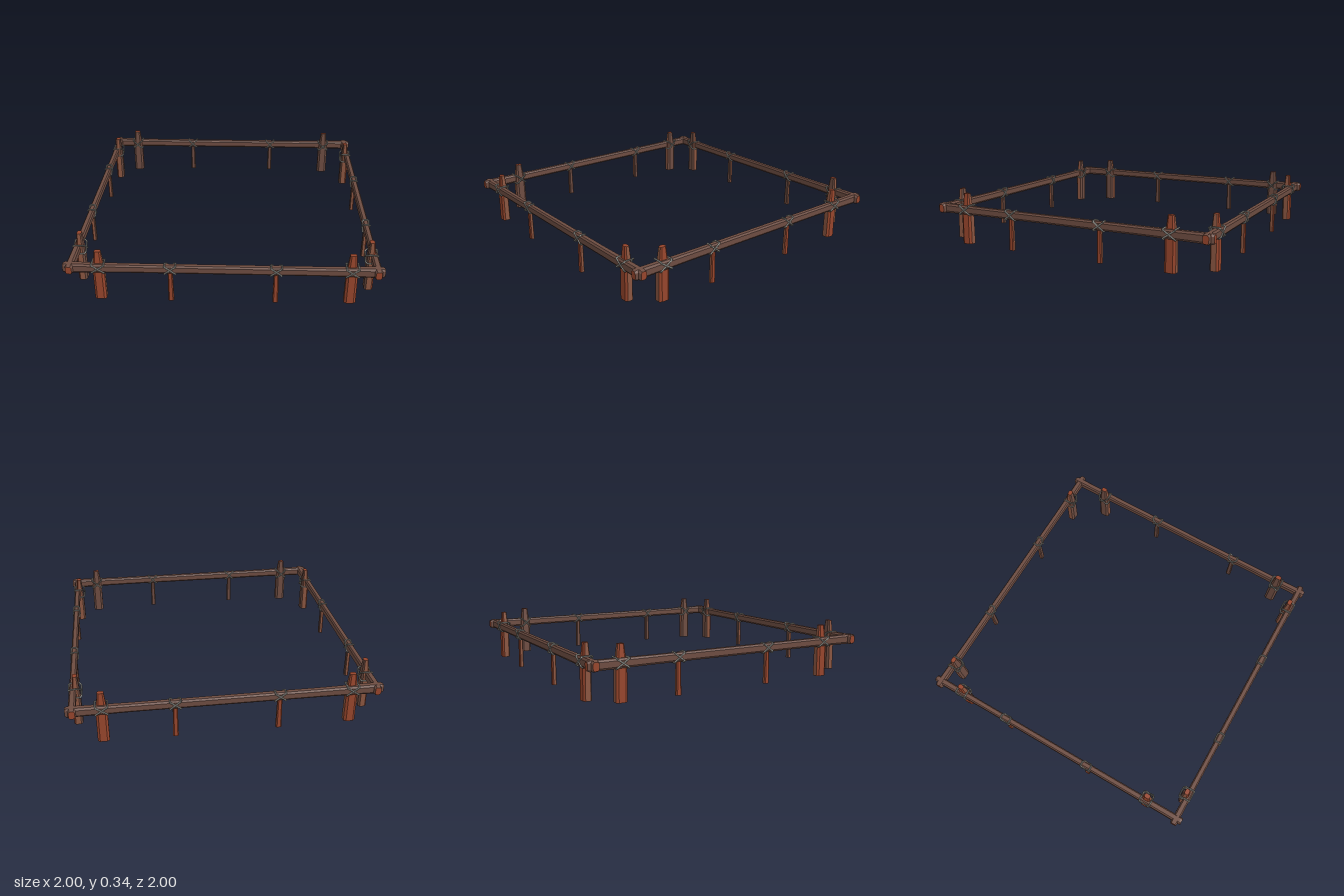
import * as THREE from 'three';

const mat = (name, color) => {
  const m = new THREE.MeshStandardMaterial({ color });
  m.name = name;
  return m;
};

// Chamfered prism along y: levels are [y, half width x, half depth z].
// Groups 0-7 are the facets (2 faces +z, 6 faces -z), 8 is the top, 9 the bottom.
function chamferedPrism(levels, k) {
  const section = [[1, -k], [1, k], [k, 1], [-k, 1], [-1, k], [-1, -k], [-k, -1], [k, -1]];
  const pos = [];
  const g = new THREE.BufferGeometry();
  const at = (l, i) => [section[i % 8][0] * l[1], l[0], section[i % 8][1] * l[2]];
  const group = (index, build) => {
    const start = pos.length / 3;
    build();
    g.addGroup(start, pos.length / 3 - start, index);
  };
  for (let i = 0; i < 8; i++) {
    group(i, () => {
      for (let j = 0; j < levels.length - 1; j++) {
        const a = levels[j], b = levels[j + 1];
        pos.push(...at(a, i), ...at(b, i), ...at(a, i + 1));
        pos.push(...at(a, i + 1), ...at(b, i), ...at(b, i + 1));
      }
    });
  }
  const low = levels[0], high = levels[levels.length - 1];
  group(8, () => {
    for (let i = 0; i < 8; i++) pos.push(0, high[0], 0, ...at(high, i + 1), ...at(high, i));
  });
  group(9, () => {
    for (let i = 0; i < 8; i++) pos.push(0, low[0], 0, ...at(low, i), ...at(low, i + 1));
  });
  g.setAttribute('position', new THREE.Float32BufferAttribute(pos, 3));
  g.computeVertexNormals();
  return g;
}

export function createModel() {
  const model = new THREE.Group();
  model.name = 'fenceFrame';

  const bark = mat('dark bark', 0x6d4c41);
  const red = mat('red wood', 0x96452c);
  const tan = mat('tan wood', 0x8a5540);
  const grey = mat('grey rope', 0x85857f);

  // Outward facets are red, the sides tan and the inner facets dark
  const postMats = [tan, red, red, red, tan, bark, bark, bark, red, bark];
  const railMats = [bark, bark, bark, bark, bark, bark, bark, bark, red, red];

  const postGeo = chamferedPrism([
    [0, 0.037, 0.028], [0.2, 0.036, 0.027], [0.265, 0.029, 0.022], [0.345, 0.02, 0.015],
  ], 0.6);
  const stakeGeo = chamferedPrism([
    [0, 0.018, 0.014], [0.2, 0.015, 0.013], [0.262, 0.015, 0.013],
  ], 0.6);
  const railGeo = chamferedPrism([
    [-1, 0.026, 0.019], [-0.985, 0.032, 0.024], [-0.93, 0.032, 0.023], [-0.6, 0.028, 0.021],
    [0.6, 0.028, 0.02], [0.93, 0.031, 0.023], [0.985, 0.032, 0.024], [1, 0.026, 0.019],
  ], 0.6).rotateZ(Math.PI / 2);

  const RAIL_Y = 0.235, RAIL_Z = 0.957;

  const add = (parent, geo, material, name, x, y, z) => {
    const mesh = new THREE.Mesh(geo, material);
    mesh.name = name;
    mesh.position.set(x, y, z);
    parent.add(mesh);
    return mesh;
  };

  // Rope segment between two points
  const strandGeo = new THREE.CylinderGeometry(0.0055, 0.0055, 1, 6);
  const up = new THREE.Vector3(0, 1, 0);
  const strand = (parent, a, b) => {
    const d = b.clone().sub(a);
    const mid = a.clone().add(b).multiplyScalar(0.5);
    const mesh = add(parent, strandGeo, grey, 'ropeStrand', mid.x, mid.y, mid.z);
    mesh.scale.y = d.length() + 0.004;
    mesh.quaternion.setFromUnitVectors(up, d.normalize());
  };

  // Crossed lashing: two mirrored diagonal loops around the rail and upright
  const lashing = (parent, x, half, inner) => {
    const rope = new THREE.Group();
    rope.name = 'lashing';
    rope.position.set(x, RAIL_Y, 0);
    const outer = RAIL_Z + 0.023;
    for (const s of [-1, 1]) {
      const loop = [
        [-half, -0.026, outer], [half, 0.026, outer], [half, 0.032, outer - 0.009],
        [half, 0.032, inner + 0.012], [half * 0.7, 0.024, inner],
        [-half * 0.7, -0.024, inner], [-half, -0.032, inner + 0.012], [-half, -0.032, outer - 0.009],
      ].map(([px, py, pz]) => new THREE.Vector3(px * s, py, pz));
      loop.forEach((p, i) => strand(rope, p, loop[(i + 1) % loop.length]));
    }
    parent.add(rope);
  };

  // Each side: one rail, two thick posts near the ends, two thin stakes between
  const side = (name, angle, posts, stakes) => {
    const g = new THREE.Group();
    g.name = name;
    add(g, railGeo, railMats, 'rail', 0, RAIL_Y, RAIL_Z);
    for (const x of posts) {
      add(g, postGeo, postMats, 'post', x, 0, 0.938);
      lashing(g, x, 0.038, 0.902);
    }
    for (const x of stakes) {
      add(g, stakeGeo, postMats, 'stake', x, 0, RAIL_Z);
      lashing(g, x, 0.034, RAIL_Z - 0.023);
    }
    g.rotation.y = angle;
    model.add(g);
  };

  side('frontSide', 0, [-0.78, 0.8], [-0.33, 0.33]);
  side('backSide', Math.PI, [-0.78, 0.8], [-0.33, 0.33]);
  side('leftSide', Math.PI / 2, [-0.78, 0.722], [-0.405, 0.254]);
  side('rightSide', -Math.PI / 2, [-0.78, 0.722], [-0.405, 0.254]);

  return model;
}
